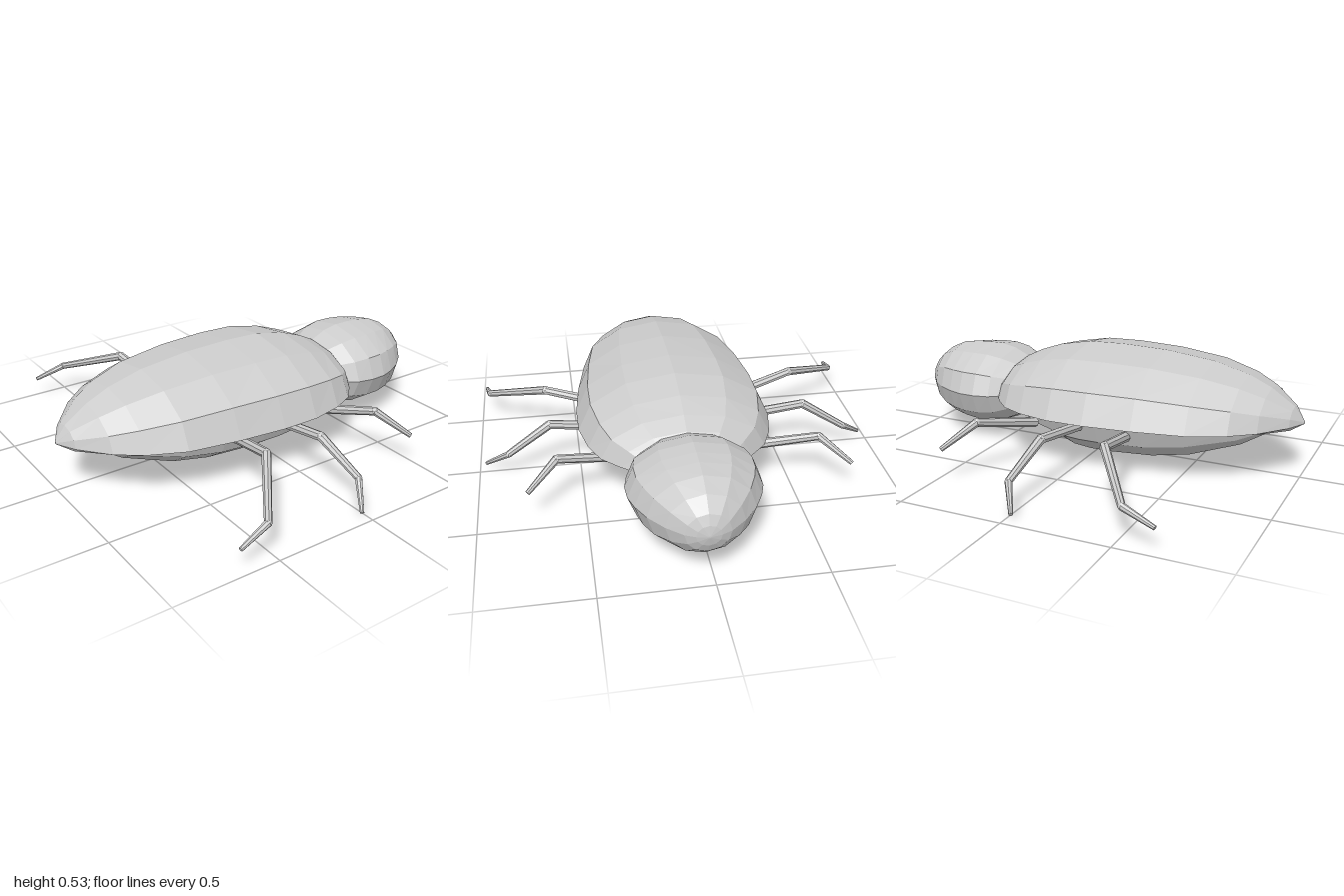
import * as THREE from 'three';

const material = new THREE.MeshStandardMaterial({ color: 0xcccccc, flatShading: true, side: THREE.DoubleSide });
const BODY_Z = 0.033;

// Lofts closed rings along x. Each station is [x, halfWidth, height];
// outline is a list of [across, up] factors running counter-clockwise seen from +x.
function loft(name, stations, outline, baseY) {
  const n = outline.length, pos = [], idx = [];
  const ring = ([x, w, h]) => outline.forEach(([a, u, drop = 0]) =>
    pos.push(x, baseY + u * h - drop * Math.min(1, w / 0.1), BODY_Z + a * w));
  stations.forEach(ring);
  for (let i = 0; i < stations.length - 1; i++) {
    for (let j = 0; j < n; j++) {
      const a = i * n + j, b = i * n + (j + 1) % n;
      idx.push(a, b, a + n, b, b + n, a + n);
    }
  }
  // End caps
  const last = (stations.length - 1) * n;
  for (let j = 1; j < n - 1; j++) {
    idx.push(0, j + 1, j, last, last + j, last + j + 1);
  }
  const geo = new THREE.BufferGeometry();
  geo.setAttribute('position', new THREE.Float32BufferAttribute(pos, 3));
  geo.setIndex(idx);
  const flat = geo.toNonIndexed();
  flat.computeVertexNormals();
  const mesh = new THREE.Mesh(flat, material);
  mesh.name = name;
  return mesh;
}

// Points of a unit arc; angles run from the +z side downward-to-upward order -z
function arc(from, to, steps) {
  return Array.from({ length: steps + 1 }, (_, i) => {
    const t = THREE.MathUtils.degToRad(from + (to - from) * i / steps);
    return [-Math.cos(t), Math.sin(t)];
  });
}

// Tapered leg: one short cylinder per segment with a rounded knee at each bend
function leg(name, points, radii, side) {
  const group = new THREE.Group();
  group.name = name;
  const pts = points.map(([x, y, z]) => new THREE.Vector3(x, y, z * side));
  for (let i = 0; i < pts.length - 1; i++) {
    const dir = pts[i + 1].clone().sub(pts[i]);
    const part = new THREE.Mesh(
      new THREE.CylinderGeometry(radii[i + 1], radii[i], dir.length(), 8), material);
    part.position.copy(pts[i]).addScaledVector(dir, 0.5);
    part.quaternion.setFromUnitVectors(new THREE.Vector3(0, 1, 0), dir.normalize());
    part.name = 'legSegment';
    group.add(part);
    if (i > 0) {
      const knee = new THREE.Mesh(new THREE.SphereGeometry(radii[i], 8, 6), material);
      knee.position.copy(pts[i]);
      knee.name = 'legJoint';
      group.add(knee);
    }
  }
  return group;
}

export function createModel() {
  const model = new THREE.Group();
  model.name = 'beetle';

  // Domed wing case with a slightly sunken underside
  const shellOutline = [...arc(0, 180, 6), [0.78, 0, 0.018], [-0.78, 0, 0.018]];
  model.add(loft('wingCase', [
    [-1, 0.005, 0.008], [-0.95, 0.1, 0.075], [-0.84, 0.235, 0.15], [-0.73, 0.32, 0.2],
    [-0.56, 0.4, 0.245], [-0.32, 0.445, 0.272], [-0.09, 0.47, 0.278], [0.09, 0.47, 0.272],
    [0.25, 0.435, 0.24], [0.36, 0.385, 0.2], [0.44, 0.305, 0.16], [0.47, 0.265, 0.125],
  ], shellOutline, 0.258));

  // Rounded belly
  model.add(loft('belly', [
    [-0.89, 0.03, 0.01], [-0.83, 0.12, 0.06], [-0.73, 0.2, 0.12], [-0.5, 0.305, 0.2],
    [-0.32, 0.345, 0.232], [-0.1, 0.36, 0.245], [0, 0.36, 0.245], [0.09, 0.355, 0.235],
    [0.25, 0.315, 0.175], [0.38, 0.25, 0.115], [0.48, 0.15, 0.05],
  ], arc(180, 360, 6), 0.25));

  // Head
  model.add(loft('head', [
    [0.37, 0.06, 0.04], [0.4, 0.17, 0.115], [0.45, 0.235, 0.155], [0.52, 0.287, 0.187],
    [0.6, 0.304, 0.203], [0.68, 0.3, 0.203], [0.75, 0.277, 0.199], [0.83, 0.235, 0.187],
    [0.91, 0.17, 0.15], [0.97, 0.1, 0.095], [0.99, 0.055, 0.05], [1, 0.005, 0.005],
  ], arc(0, 330, 11), 0.262));

  // Three pairs of legs, mirrored in z
  const legs = {
    rear: [[-0.245, 0.18, 0.28], [-0.31, 0.27, 0.65], [-0.52, 0.16, 0.945], [-0.67, 0.11, 0.97]],
    middle: [[-0.01, 0.2, 0.28], [0.003, 0.25, 0.64], [0.045, 0.125, 0.85], [-0.032, 0.035, 0.965]],
    front: [[0.235, 0.18, 0.28], [0.345, 0.27, 0.62], [0.45, 0.17, 0.76]],
  };
  for (const [name, points] of Object.entries(legs)) {
    const radii = points.length === 4 ? [0.025, 0.022, 0.017, 0.01] : [0.025, 0.02, 0.012];
    model.add(leg(name + 'LegNear', points, radii, 1), leg(name + 'LegFar', points, radii, -1));
  }
  return model;
}
